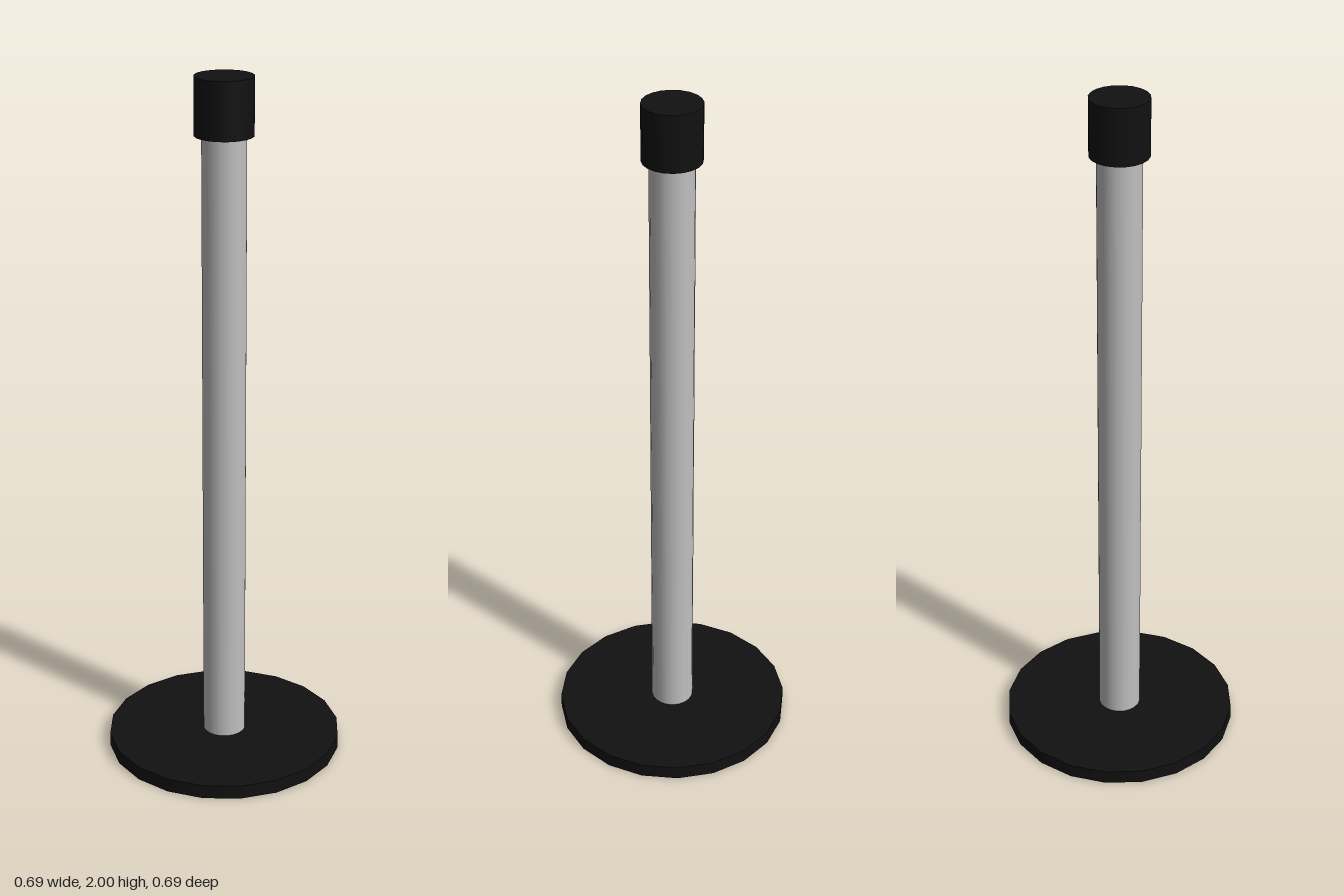
import * as THREE from 'three';

export function createModel() {
  const black = new THREE.MeshStandardMaterial({ color: 0x111111 });
  black.name = 'black';
  const silver = new THREE.MeshStandardMaterial({ color: 0xc0c0c0 });
  silver.name = 'silver';

  const model = new THREE.Group();
  model.name = 'barrierPost';

  // Upright 20-sided cylinder spanning two heights
  function addCylinder(name, radius, bottom, top, material) {
    const geometry = new THREE.CylinderGeometry(radius, radius, top - bottom, 20);
    const mesh = new THREE.Mesh(geometry, material);
    mesh.name = name;
    mesh.position.y = (bottom + top) / 2;
    model.add(mesh);
  }

  addCylinder('base', 0.343, 0, 0.041, black);
  addCylinder('post', 0.062, 0.041, 1.84, silver);
  addCylinder('cap', 0.082, 1.84, 2, black);

  return model;
}
